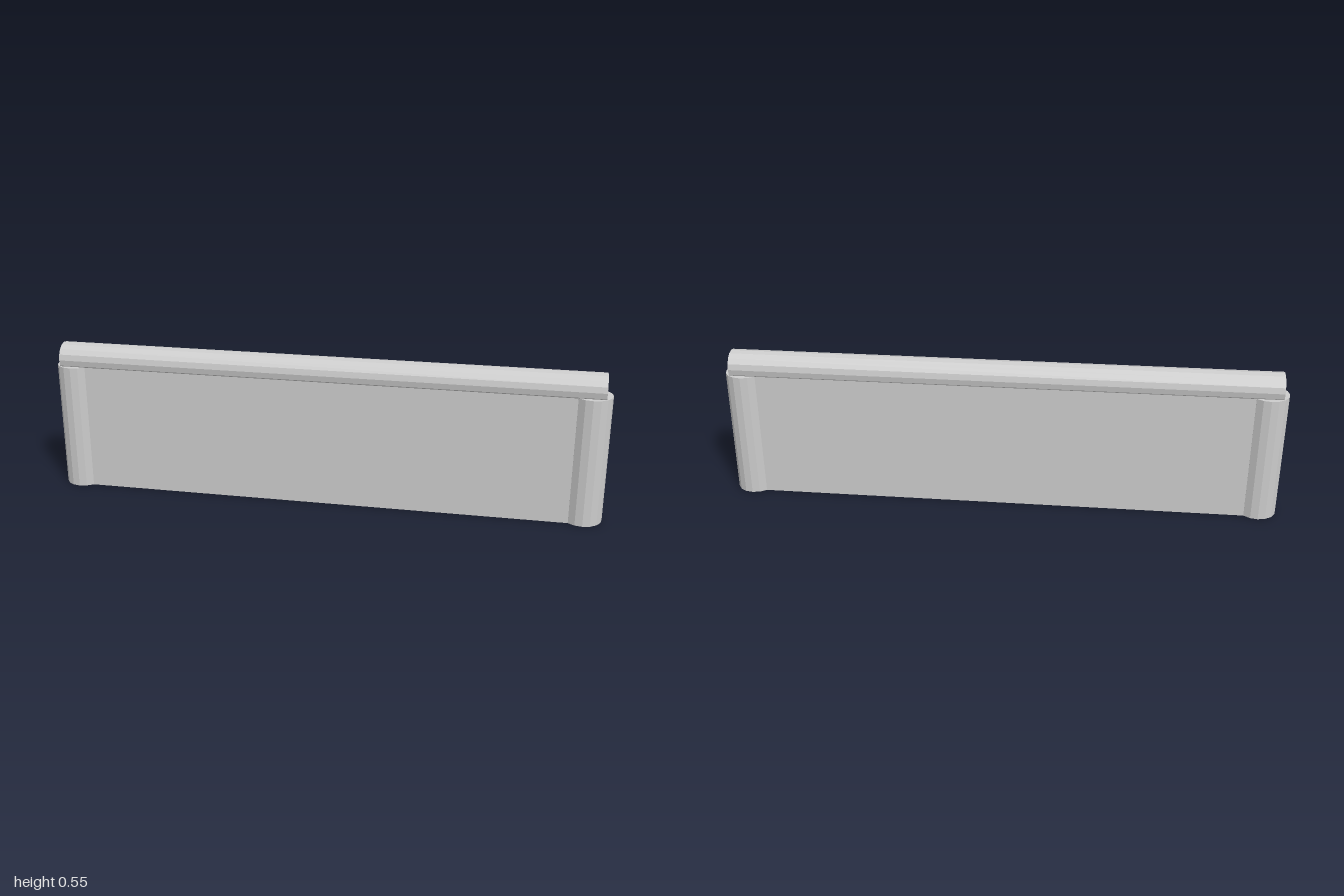
import * as THREE from 'three';

export function createModel() {
  const group = new THREE.Group();
  const material = new THREE.MeshStandardMaterial({ color: 0xcccccc, flatShading: true });
  const wallHeight = 0.466;
  const postRadius = 0.069;
  const postX = 1 - postRadius;

  const add = (name, geometry, x, y) => {
    const mesh = new THREE.Mesh(geometry, material);
    mesh.name = name;
    mesh.position.set(x, y, 0);
    group.add(mesh);
    return mesh;
  };

  // Solid wall running between the post centres
  add('wallPanel', new THREE.BoxGeometry(2 * postX, wallHeight, 0.097), 0, wallHeight / 2);

  // Round end posts
  for (const [name, side] of [['leftPost', 1], ['rightPost', -1]]) {
    add(name, new THREE.CylinderGeometry(postRadius, postRadius, wallHeight, 16), side * postX, wallHeight / 2);
  }

  // Round top rail, sunk slightly into the wall
  const rail = add('topRail', new THREE.CylinderGeometry(0.055, 0.055, 1.95, 16), 0, 0.49);
  rail.rotation.z = Math.PI / 2;

  return group;
}
